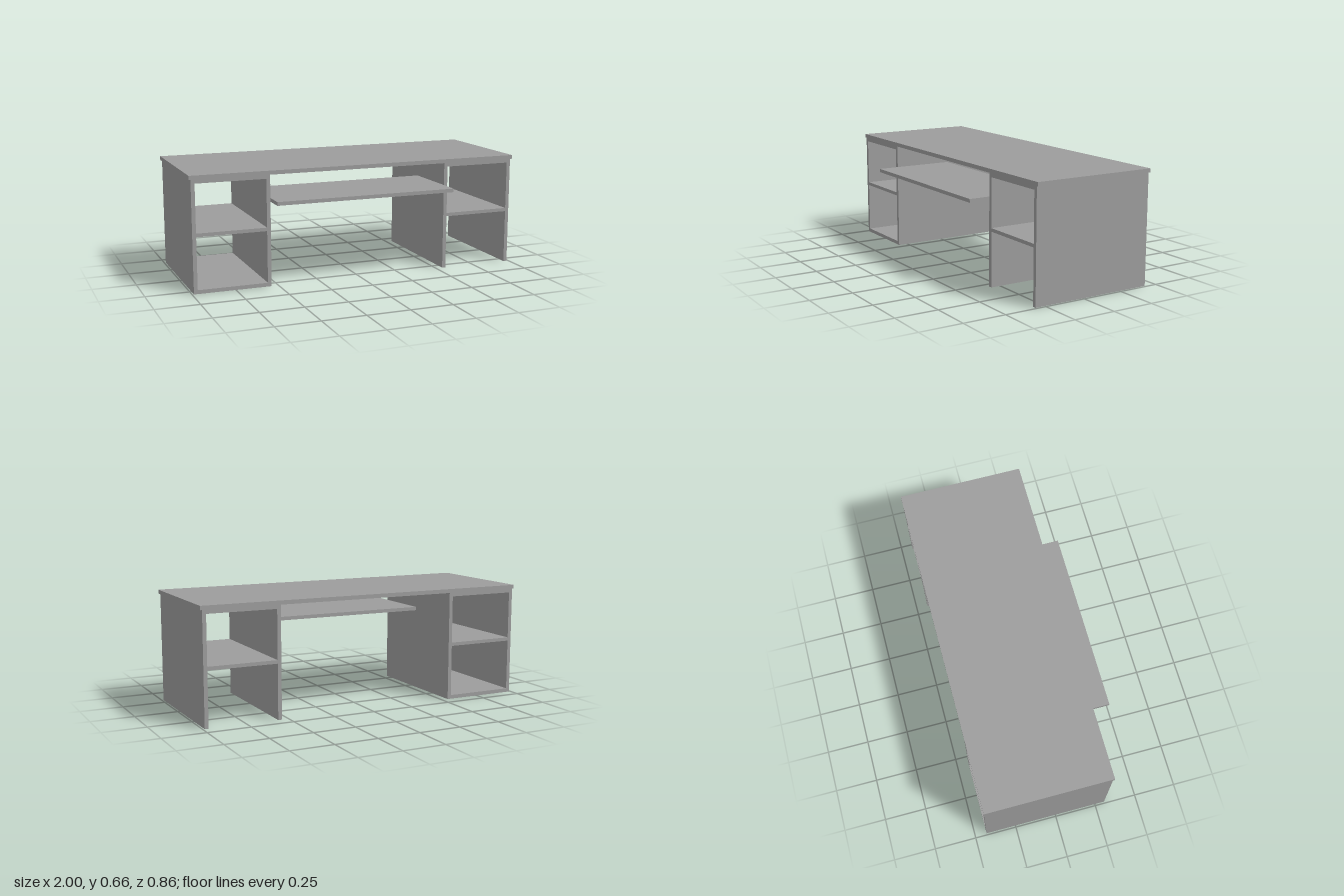
import * as THREE from 'three';

const material = new THREE.MeshStandardMaterial({ color: 0x9c9c9c });

// Board given by its extents along each axis
function board(parent, name, [x0, x1], [y0, y1], [z0, z1]) {
  const mesh = new THREE.Mesh(new THREE.BoxGeometry(x1 - x0, y1 - y0, z1 - z0), material);
  mesh.position.set((x0 + x1) / 2, (y0 + y1) / 2, (z0 + z1) / 2);
  mesh.name = name;
  parent.add(mesh);
}

const T = 0.022; // board thickness
const TOP = 0.641; // underside of the desktop
const DEPTH = [-0.43, 0.308];

// Open pedestal: two side panels, a top board, a shelf, and optionally a floor
function pedestal(name, x0, x1, shelfY, hasFloor) {
  const group = new THREE.Group();
  group.name = name;
  const inner = [x0 + T, x1 - T];
  board(group, 'sidePanel', [x0, x0 + T], [0, TOP], DEPTH);
  board(group, 'sidePanel', [x1 - T, x1], [0, TOP], DEPTH);
  board(group, 'topBoard', inner, [TOP - T, TOP], DEPTH);
  board(group, 'shelf', inner, [shelfY, shelfY + 0.02], DEPTH);
  if (hasFloor) board(group, 'floorBoard', inner, [0, T], DEPTH);
  return group;
}

export function createModel() {
  const desk = new THREE.Group();
  desk.name = 'desk';
  board(desk, 'desktop', [-1, 1], [TOP, 0.664], [-0.432, 0.31]);
  desk.add(pedestal('rightPedestal', -0.99, -0.541, 0.322, true));
  desk.add(pedestal('leftPedestal', 0.541, 0.989, 0.317, false));
  // Sliding tray pulled out towards the sitter
  board(desk, 'keyboardTray', [-0.541, 0.541], [0.488, 0.509], [-0.05, 0.432]);
  return desk;
}
